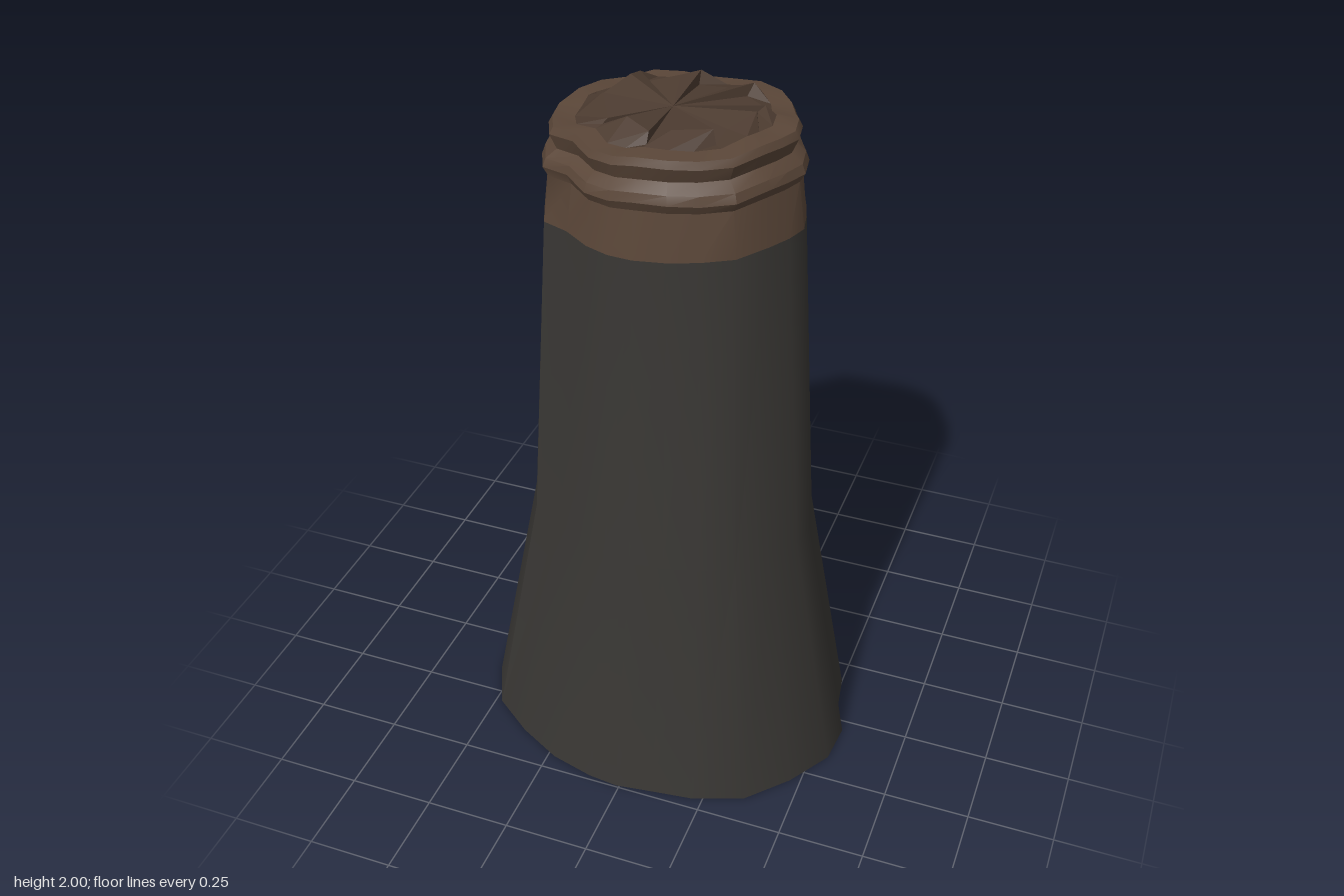
import * as THREE from 'three';
import { toCreasedNormals } from 'three/addons/utils/BufferGeometryUtils.js';

// Outlines (x, z), counter-clockwise from above, with matching corners
const FOOT = [
  [0.56, 0.04], [0.52, -0.05], [0.5, -0.17], [0.445, -0.3], [0.345, -0.39], [0.22, -0.475], [0.1, -0.485],
  [-0.01, -0.5], [-0.11, -0.485], [-0.24, -0.48], [-0.385, -0.425], [-0.48, -0.3], [-0.545, -0.17],
  [-0.565, 0.03], [-0.545, 0.155], [-0.48, 0.29], [-0.36, 0.38], [-0.23, 0.45], [-0.1, 0.485],
  [-0.01, 0.495], [0.1, 0.48], [0.22, 0.465], [0.365, 0.41], [0.47, 0.295], [0.55, 0.165],
];
const NECK = [
  [0.355, 0.02], [0.34, -0.05], [0.325, -0.1], [0.28, -0.18], [0.235, -0.235], [0.16, -0.285], [0.08, -0.3],
  [-0.01, -0.305], [-0.09, -0.3], [-0.18, -0.29], [-0.25, -0.25], [-0.31, -0.19], [-0.34, -0.1],
  [-0.37, 0.0], [-0.35, 0.07], [-0.31, 0.165], [-0.23, 0.2], [-0.15, 0.26], [-0.08, 0.29],
  [-0.01, 0.3], [0.08, 0.29], [0.16, 0.265], [0.24, 0.225], [0.3, 0.14], [0.335, 0.08],
];
const N = NECK.length;

// Ring between foot and neck outline
const bodyRing = (t, y, tilt = 0) => FOOT.map(([x, z], i) => {
  const px = x + (NECK[i][0] - x) * t, pz = z + (NECK[i][1] - z) * t;
  return [px, y + px * tilt, pz];
});

// Scaled neck ring, slightly tilted and uneven
const neckRing = (s, y, rough = 0) => NECK.map(([x, z], i) => {
  const k = s + rough * Math.sin(i * 2.3);
  return [x * k, y + x * 0.045 + rough * 0.4 * Math.sin(i * 1.7), z * k];
});

// Skin successive rings; an optional centre point closes the last one
function skin(rings, centre) {
  const pos = [];
  const tri = (a, b, c) => pos.push(...a, ...b, ...c);
  for (let r = 0; r < rings.length - 1; r++) {
    for (let i = 0; i < N; i++) {
      const j = (i + 1) % N, lo = rings[r], hi = rings[r + 1];
      tri(lo[i], lo[j], hi[j]);
      tri(lo[i], hi[j], hi[i]);
    }
  }
  const last = rings[rings.length - 1];
  if (centre) for (let i = 0; i < N; i++) tri(last[i], last[(i + 1) % N], centre);
  const g = new THREE.BufferGeometry();
  g.setAttribute('position', new THREE.Float32BufferAttribute(pos, 3));
  return g;
}

export function createModel() {
  const group = new THREE.Group();
  const add = (name, geometry, color, crease, flatShading = false) => {
    const mat = new THREE.MeshStandardMaterial({ color, flatShading, side: THREE.DoubleSide });
    const mesh = new THREE.Mesh(toCreasedNormals(geometry, crease), mat);
    mesh.name = name;
    group.add(mesh);
  };

  // Dark flared body, open underneath
  add('body', skin([bodyRing(0, 0), bodyRing(0.7, 0.75), bodyRing(1, 1.685, 0.045)]), 0x383633, 0.6);

  // Brown collar with two ridges and a broad lip
  add('collar', skin([
    neckRing(1, 1.685),
    neckRing(0.95, 1.815, 0.01),
    neckRing(0.99, 1.84, 0.015),
    neckRing(0.965, 1.865, 0.012),
    neckRing(0.88, 1.89, 0.01),
    neckRing(0.93, 1.93, 0.015),
    neckRing(0.9, 1.95, 0.015),
    neckRing(0.73, 1.953, 0.02),
  ]), 0x5a4638, 0.5);

  // Jagged broken core inside the lip
  const jag = NECK.map((p, i) => {
    const [x, z] = NECK[(i + (i % 3 === 0 ? 1 : 0)) % N];
    const k = 0.6 + 0.07 * Math.sin(i * 2.1);
    return [x * k, 1.978 + 0.022 * Math.sin(i * 1.9), z * k];
  });
  add('brokenCore', skin([neckRing(0.73, 1.953, 0.02), jag], [-0.01, 1.975, 0]), 0x4c3b30, 0.3, true);

  return group;
}
